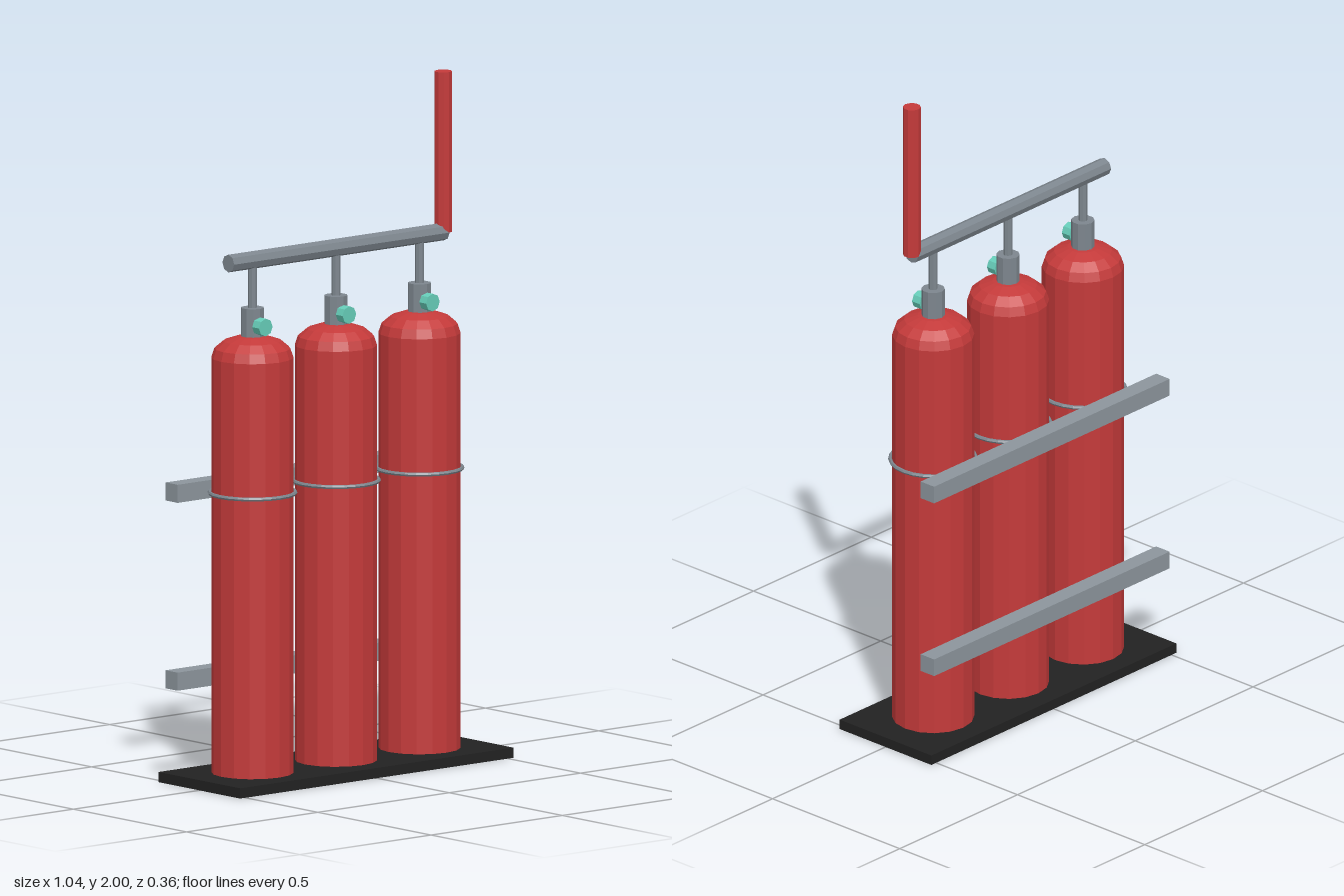
import * as THREE from 'three';

const material = (name, color, flatShading = true) =>
  Object.assign(new THREE.MeshStandardMaterial({ color, flatShading }), { name });

export function createModel() {
  const red = material('cylinder red', 0xc43a3a);
  const steel = material('rail steel', 0x8c959c);
  const pipe = material('pipe grey', 0x7d868e);
  const teal = material('valve teal', 0x66ccb8);
  const black = material('base black', 0x222222);

  const model = new THREE.Group();
  model.name = 'gasCylinderRack';

  const add = (parent, name, geometry, mat, x = 0, y = 0, z = 0) => {
    const mesh = new THREE.Mesh(geometry, mat);
    mesh.name = name;
    mesh.position.set(x, y, z);
    parent.add(mesh);
    return mesh;
  };
  const rod = (r, length, sides) => new THREE.CylinderGeometry(r, r, length, sides);

  // Base plate and the two rear rails
  add(model, 'basePlate', new THREE.BoxGeometry(1.04, 0.03, 0.36), black, 0, 0.015, 0);
  for (const y of [0.3, 0.85]) {
    add(model, 'rearRail', new THREE.BoxGeometry(1, 0.053, 0.053), steel, 0, y, -0.146);
  }

  // Cylinder body: straight wall with a shallow domed shoulder
  const profile = [[0, 0.03], [0.119, 0.03], [0.119, 1.245], [0.11, 1.272],
    [0.084, 1.294], [0.045, 1.307], [0, 1.311]].map(([r, y]) => new THREE.Vector2(r, y));

  for (const x of [-0.318, 0, 0.318]) {
    const bottle = new THREE.Group();
    bottle.name = 'gasCylinder';
    bottle.position.x = x;
    model.add(bottle);

    add(bottle, 'body', new THREE.LatheGeometry(profile, 16), red);
    add(bottle, 'valveNeck', rod(0.034, 0.09, 10), pipe, 0, 1.346);
    add(bottle, 'riserPipe', rod(0.013, 0.14, 8), pipe, 0, 1.455);

    // Valve knob facing forward
    add(bottle, 'valveKnob', rod(0.026, 0.03, 8), teal, 0, 1.34, 0.044).rotation.x = Math.PI / 2;

    // Retaining ring around the body
    add(bottle, 'retainingRing', new THREE.TorusGeometry(0.124, 0.006, 6, 24), pipe, 0, 0.85)
      .rotation.x = Math.PI / 2;
  }

  // Manifold across the top and the upright vent stack
  add(model, 'manifold', rod(0.026, 0.82, 8), pipe, 0, 1.53).rotation.z = Math.PI / 2;
  add(model, 'ventStack', rod(0.026, 0.47, 10), red, 0.408, 1.765);

  return model;
}
